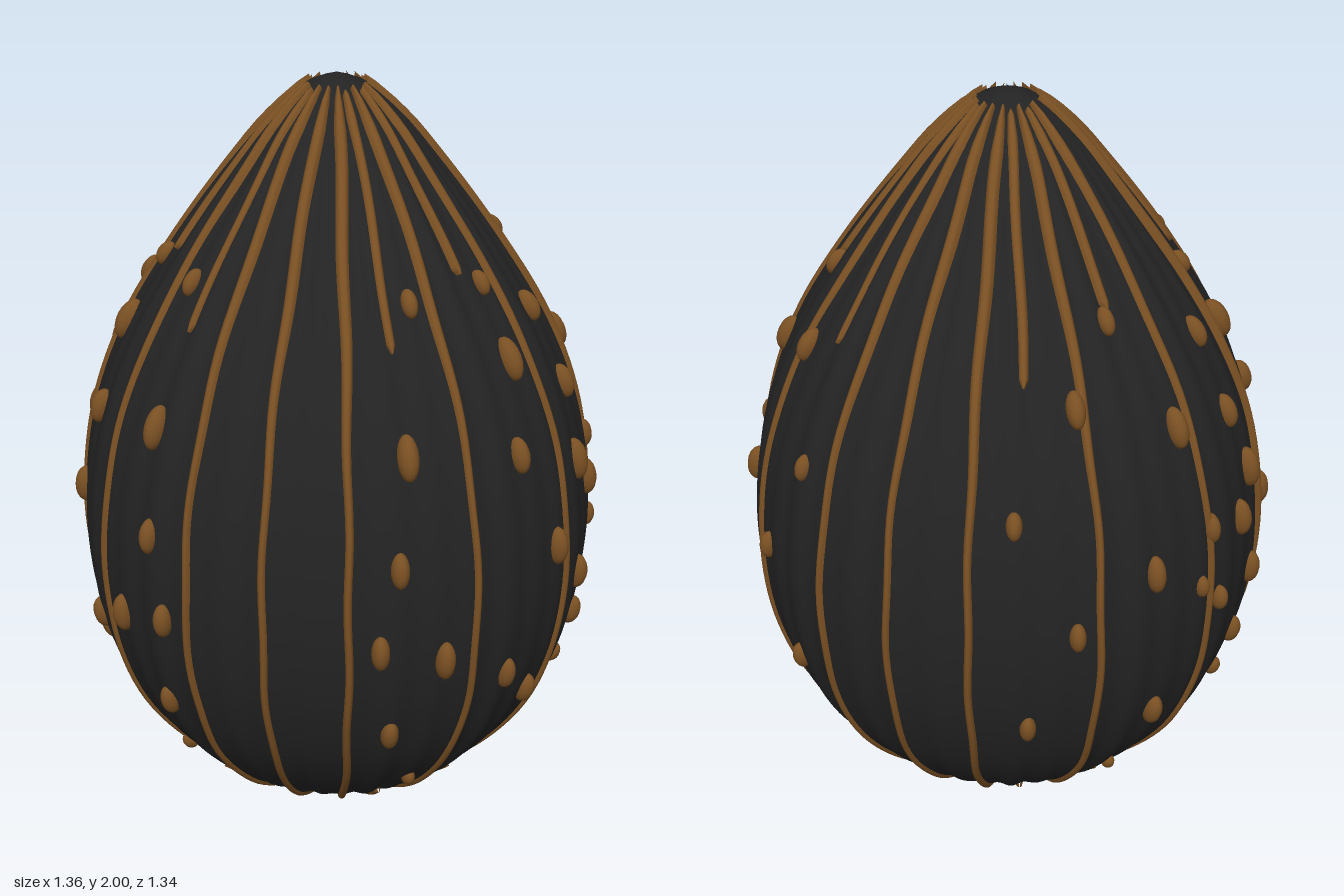
import * as THREE from 'three';
import { mergeVertices } from 'three/addons/utils/BufferGeometryUtils.js';

const rad = THREE.MathUtils.degToRad;

// Egg outline: radius, height
const profile = new THREE.CatmullRomCurve3([
  [0, 0.005], [0.13, 0.035], [0.26, 0.1], [0.4, 0.2], [0.555, 0.4], [0.63, 0.6], [0.656, 0.8],
  [0.646, 1], [0.603, 1.2], [0.52, 1.4], [0.395, 1.6], [0.245, 1.8], [0.16, 1.9], [0.07, 1.975], [0, 2],
].map(([r, y]) => new THREE.Vector3(r, y, 0)), false, 'centripetal');

// Curve position whose height is y
function atHeight(y) {
  let lo = 0, hi = 1;
  for (let i = 0; i < 30; i++) {
    const mid = (lo + hi) / 2;
    if (profile.getPointAt(mid).y < y) lo = mid; else hi = mid;
  }
  return lo;
}

// Point on the shell at angle a (0 = front) and curve position t, lifted along the normal
function shellPoint(a, t, lift) {
  const p = profile.getPointAt(t), d = profile.getTangentAt(t);
  const r = Math.max(0, p.x + d.y * lift);
  return new THREE.Vector3(Math.sin(a) * r, p.y - d.x * lift, Math.cos(a) * r);
}

// Grid surface from a rule, u to the right and v upward seen from outside
function gridSurface(rule, nu, nv) {
  const pos = [], index = [];
  for (let j = 0; j <= nv; j++) {
    for (let i = 0; i <= nu; i++) pos.push(...rule(i / nu, j / nv).toArray());
  }
  for (let j = 0; j < nv; j++) {
    for (let i = 0; i < nu; i++) {
      const a = j * (nu + 1) + i, d = a + nu + 1;
      index.push(a, a + 1, d + 1, a, d + 1, d);
    }
  }
  let g = new THREE.BufferGeometry();
  g.setAttribute('position', new THREE.Float32BufferAttribute(pos, 3));
  g.setIndex(index);
  g = mergeVertices(g, 1e-5);
  g.computeVertexNormals();
  return g;
}

// Raised rounded strip following a meridian
function ribGeometry(angle, y0, y1, width, height) {
  const t0 = atHeight(y0), t1 = atHeight(y1);
  return gridSurface((u, v) => {
    const t = t0 + (t1 - t0) * v;
    const p = profile.getPointAt(t);
    const taper = Math.min(1, Math.sin(Math.PI * v) * 8 + 0.25);
    const swell = 1 + 0.4 * THREE.MathUtils.smoothstep(p.y, 1.1, 1.7);
    const half = Math.min(width * swell * taper / Math.max(p.x, 0.01), rad(6));
    const s = u * 2 - 1;
    const wobble = 0.0025 * Math.sin(p.y * 17 + angle * 5) / Math.max(p.x, 0.2);
    return shellPoint(angle + wobble + s * half, t, -0.006 + (height + 0.006) * Math.sqrt(1 - s * s));
  }, 6, 64);
}

// Nodules: angle in degrees, height, half length
const nodules = [
  [38, 1.57, 0.035], [68, 1.57, 0.032], [88, 1.47, 0.042], [66, 1.41, 0.055], [31, 1.27, 0.055],
  [89, 1.28, 0.045], [60, 1.21, 0.045], [84, 1.1, 0.055], [92, 1.01, 0.05], [28, 1.02, 0.045],
  [70, 0.94, 0.05], [24, 0.81, 0.045], [38, 0.76, 0.052], [83, 0.79, 0.048], [89, 0.63, 0.042],
  [55, 0.65, 0.045], [89, 0.49, 0.03], [66, 0.53, 0.045], [27, 0.545, 0.045], [37, 0.3, 0.028],
  [110, 1.33, 0.052], [137, 1.43, 0.045], [105, 1.06, 0.04], [109, 0.92, 0.03], [122, 1.02, 0.048],
  [102, 0.84, 0.035], [119, 0.57, 0.048], [140, 0.905, 0.038], [153, 1.2, 0.035],
  [121, 0.29, 0.025], [122, 1.58, 0.035], [150, 0.62, 0.04],
];

export function createModel() {
  const group = new THREE.Group();
  const charcoal = new THREE.MeshStandardMaterial({ color: 0x232323 });
  charcoal.name = 'charcoal';
  const bronze = new THREE.MeshStandardMaterial({ color: 0x7a5023 });
  bronze.name = 'bronze';

  const add = (parent, name, geometry, material) => {
    const mesh = new THREE.Mesh(geometry, material);
    mesh.name = name;
    parent.add(mesh);
    return mesh;
  };

  // Shell with fine vertical ripples that fade at the poles
  add(group, 'shell', gridSurface((u, v) => {
    const a = u * Math.PI * 2;
    const fade = THREE.MathUtils.smoothstep(Math.sin(Math.PI * v), 0.1, 0.6);
    const ripple = 0.003 * Math.cos(a * 40) + 0.002 * Math.cos(a * 26 + Math.sin(v * 9) * 0.4);
    return shellPoint(a, v, ripple * fade);
  }, 320, 72), charcoal);

  // Long ribs from pole to pole
  const ribs = new THREE.Group();
  ribs.name = 'ribs';
  group.add(ribs);
  for (const deg of [0, 17.5, 45, 74, 106, 135, 162.5, 180, 197.5, 225, 254, 286, 315, 342.5]) {
    add(ribs, 'longRib', ribGeometry(rad(deg), 0.025, 1.975, 0.012, 0.013), bronze);
  }

  // Short ribs near the top and the bottom
  for (const deg of [30, 60, 120, 150, 210, 240, 300, 330]) {
    add(ribs, 'shortTopRib', ribGeometry(rad(deg), deg % 60 ? 1.48 : 1.6, 1.97, 0.01, 0.01), bronze);
    add(ribs, 'shortBottomRib', ribGeometry(rad(deg), 0.03, 0.22, 0.01, 0.01), bronze);
  }

  // Oval nodules scattered over both flanks
  const bumps = new THREE.Group();
  bumps.name = 'nodules';
  group.add(bumps);
  const ball = new THREE.SphereGeometry(1, 14, 10);
  for (const side of [1, -1]) {
    for (const [deg, y, size] of nodules) {
      const a = rad(deg) * side, t = atHeight(y), d = profile.getTangentAt(t);
      const up = new THREE.Vector3(Math.sin(a) * d.x, d.y, Math.cos(a) * d.x);
      const across = new THREE.Vector3(Math.cos(a), 0, -Math.sin(a));
      const out = new THREE.Vector3().crossVectors(across, up);
      const mesh = add(bumps, 'nodule', ball, bronze);
      mesh.quaternion.setFromRotationMatrix(new THREE.Matrix4().makeBasis(across, up, out));
      mesh.scale.set(0.008 + size * 0.32, size, 0.01 + size * 0.38);
      mesh.position.copy(shellPoint(a, t, 0.002));
    }
  }
  return group;
}
